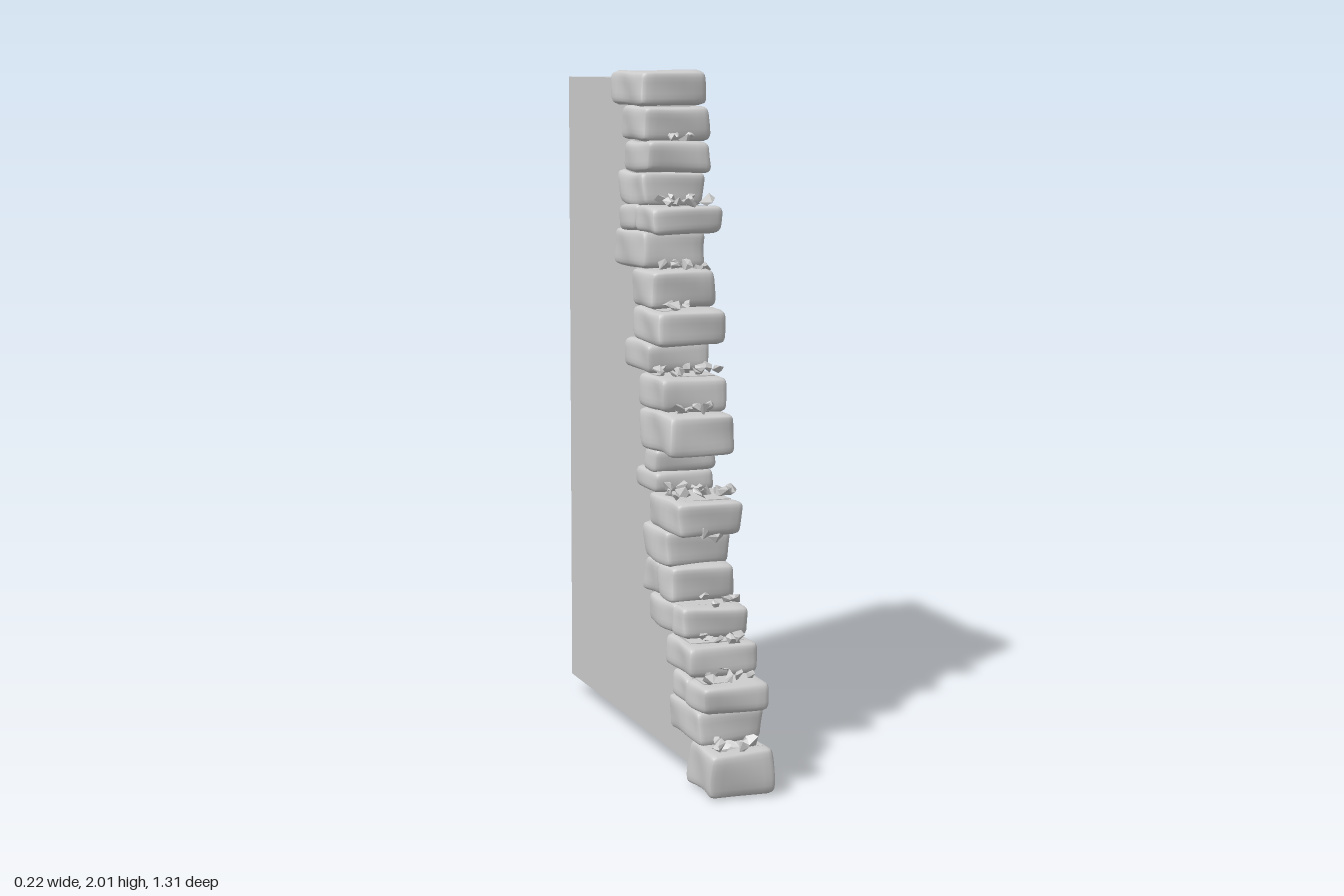
import * as THREE from 'three';
import { mergeVertices } from 'three/addons/utils/BufferGeometryUtils.js';
import { ConvexGeometry } from 'three/addons/geometries/ConvexGeometry.js';

// Courses from bottom to top: [bottom, top, [back z, front z], ...one pair per stone]
const COURSES = [
  [0.00, 0.13, [0.455, 0.65]],
  [0.13, 0.23, [0.31, 0.56]],
  [0.23, 0.31, [0.465, 0.61], [0.35, 0.475]],
  [0.31, 0.40, [0.29, 0.50]],
  [0.405, 0.495, [0.34, 0.435], [0.145, 0.35]],
  [0.49, 0.595, [0.225, 0.34], [0.10, 0.235]],
  [0.59, 0.695, [0.11, 0.31]],
  [0.69, 0.79, [0.14, 0.40]],
  [0.785, 0.85, [0.025, 0.19]],
  [0.845, 0.92, [0.10, 0.185]],
  [0.91, 1.03, [0.065, 0.335]],
  [1.03, 1.13, [0.055, 0.27]],
  [1.13, 1.22, [-0.07, 0.14]],
  [1.22, 1.32, [0.03, 0.26]],
  [1.32, 1.43, [0.0, 0.185]],
  [1.43, 1.54, [-0.155, 0.11]],
  [1.535, 1.615, [0.035, 0.205], [-0.10, 0.045]],
  [1.61, 1.71, [-0.13, 0.095]],
  [1.71, 1.80, [-0.07, 0.145]],
  [1.80, 1.90, [-0.095, 0.115]],
  [1.90, 2.00, [-0.17, 0.105]],
];

// Rubble piles: [ledge height, back z, front z, min x, max x, chip count]
const RUBBLE = [
  [0.13, 0.57, 0.64, -0.08, 0.05, 7],
  [0.31, 0.52, 0.59, -0.08, 0.07, 6],
  [0.40, 0.42, 0.48, -0.06, 0.07, 5],
  [0.495, 0.37, 0.42, -0.03, 0.08, 4],
  [0.79, 0.21, 0.38, -0.10, 0.10, 15],
  [0.68, 0.37, 0.40, -0.05, 0.04, 2],
  [1.03, 0.28, 0.32, -0.08, 0.05, 6],
  [1.13, 0.16, 0.25, -0.10, 0.10, 9],
  [1.32, 0.20, 0.25, -0.07, 0.01, 4],
  [1.43, 0.12, 0.19, -0.07, 0.09, 6],
  [1.615, 0.11, 0.20, -0.08, 0.07, 8],
  [1.80, 0.11, 0.13, -0.03, 0.06, 4],
];

let seed = 7;
const rand = (a = 0, b = 1) => {
  seed = (seed * 16807) % 2147483647;
  return a + (b - a) * (seed / 2147483647);
};

// Worn block: a box with rounded edges and gently uneven faces
function stoneGeometry(w, h, d) {
  const geo = new THREE.BoxGeometry(2, 2, 2, 10, 10, 10);
  geo.deleteAttribute('uv');
  geo.deleteAttribute('normal');
  const merged = mergeVertices(geo);
  const half = new THREE.Vector3(w / 2, h / 2, d / 2);
  const r = 0.021;
  const inner = half.clone().subScalar(r);
  const minInner = inner.clone().negate();
  const phase = [rand(0, 6), rand(0, 6), rand(0, 6)];
  const pos = merged.attributes.position;
  const p = new THREE.Vector3(), core = new THREE.Vector3();
  for (let i = 0; i < pos.count; i++) {
    p.fromBufferAttribute(pos, i);
    // Gather the grid lines near the edges, then round them
    for (const a of ['x', 'y', 'z']) p[a] = Math.sin(p[a] * Math.PI / 2) * half[a];
    core.copy(p).clamp(minInner, inner);
    p.sub(core).normalize().multiplyScalar(r).add(core);
    const { x, y, z } = p;
    p.x += Math.sign(x) * 0.004 * Math.sin(z * 30 + y * 25 + phase[0]);
    p.y += 0.004 * Math.sin(z * 22 + phase[1]) * Math.cos(x * 14 + phase[2]);
    p.z += 0.007 * Math.sin(y * 28 + x * 16 + phase[2]);
    pos.setXYZ(i, p.x, p.y, p.z);
  }
  merged.computeVertexNormals();
  return merged;
}

// Angular chip: the hull of a few points scattered on a squashed ball
function chipGeometry(size) {
  const points = [];
  for (let i = 0; i < 9; i++) {
    const t = rand(0, Math.PI * 2), c = rand(-1, 1), s = Math.sqrt(1 - c * c);
    points.push(new THREE.Vector3(s * Math.cos(t) * size, c * size * 0.7, s * Math.sin(t) * size * 0.8));
  }
  return new ConvexGeometry(points);
}

export function createModel() {
  const model = new THREE.Group();
  model.name = 'wallEnd';
  const smooth = new THREE.MeshStandardMaterial({ color: 0xcccccc });
  const faceted = new THREE.MeshStandardMaterial({ color: 0xcccccc, flatShading: true });

  // Plain wall, its broken edge stepped to stay inside the stones
  const profile = new THREE.Shape();
  profile.moveTo(0.65, 0.05);
  for (const [y0, y1, front] of COURSES) {
    const z = Math.max(front[0] + 0.02, front[1] - 0.05);
    profile.lineTo(-z, Math.max(y0, 0.05));
    profile.lineTo(-z, Math.min(y1, 1.98));
  }
  profile.lineTo(0.65, 1.98);
  const wallGeo = new THREE.ExtrudeGeometry(profile, { depth: 0.16, bevelEnabled: false });
  wallGeo.translate(0, 0, -0.08).rotateY(Math.PI / 2);
  const wall = new THREE.Mesh(wallGeo, smooth);
  wall.name = 'wallSlab';
  model.add(wall);

  // Stacked edge stones
  const stones = new THREE.Group();
  stones.name = 'edgeStones';
  for (const [y0, y1, ...spans] of COURSES) {
    for (const [z0, z1] of spans) {
      const stone = new THREE.Mesh(stoneGeometry(rand(0.193, 0.21), y1 - y0, z1 - z0), smooth);
      stone.position.set(rand(-0.004, 0.004), (y0 + y1) / 2, (z0 + z1) / 2);
      stone.name = 'edgeStone';
      stones.add(stone);
    }
  }
  model.add(stones);

  // Loose rubble lying on the ledges
  const rubble = new THREE.Group();
  rubble.name = 'rubble';
  for (const [y, z0, z1, x0, x1, count] of RUBBLE) {
    for (let i = 0; i < count; i++) {
      const chip = new THREE.Mesh(chipGeometry(rand(0.016, 0.028)), faceted);
      const x = x0 + (x1 - x0) * (i + rand(0.2, 0.8)) / count;
      chip.position.set(x, y + rand(0.006, 0.024), rand(z0, z1));
      chip.rotation.set(rand(-0.6, 0.6), rand(0, 6), rand(-0.6, 0.6));
      chip.name = 'rubbleChip';
      rubble.add(chip);
    }
  }
  model.add(rubble);
  return model;
}
